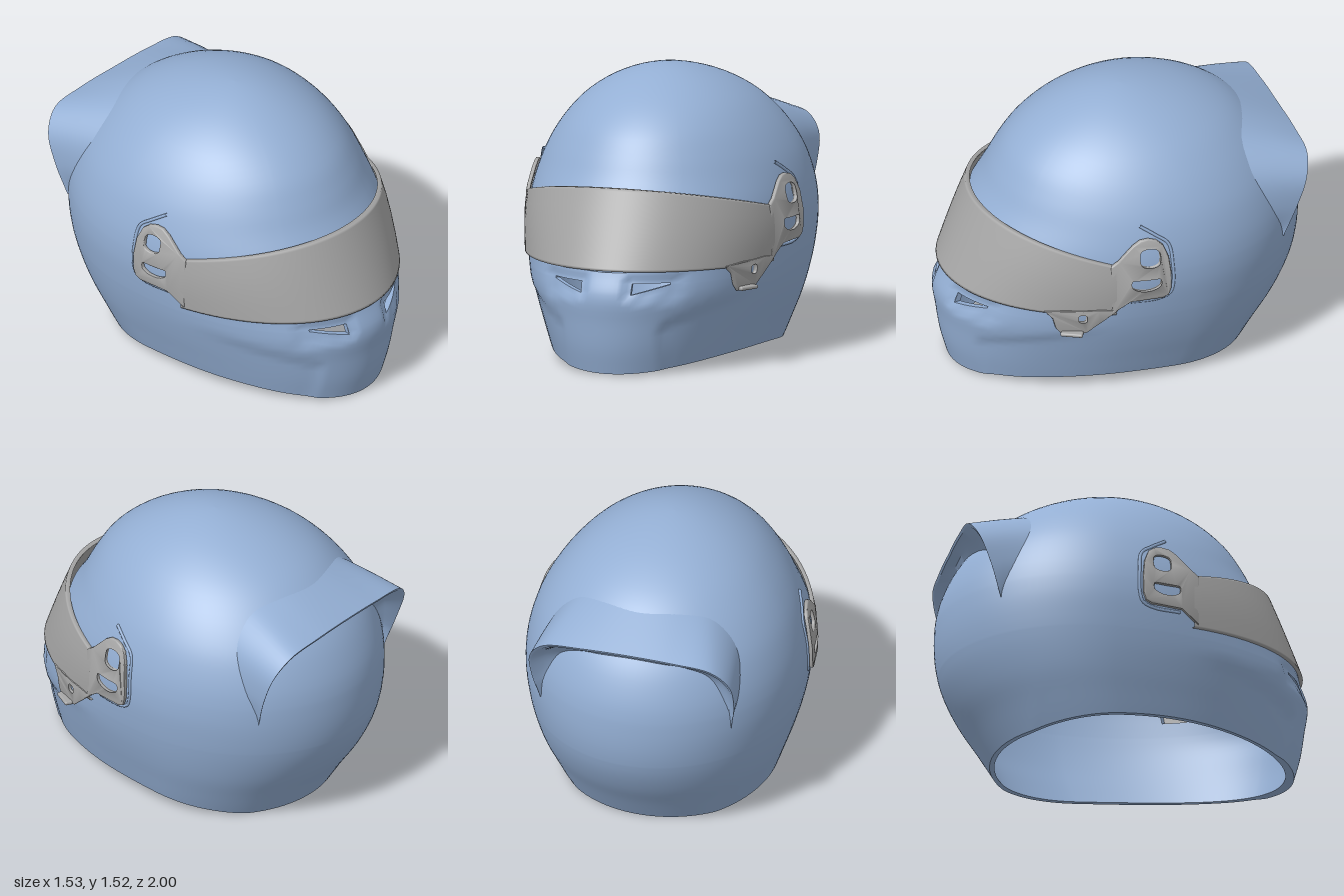
import * as THREE from 'three';
import { toCreasedNormals } from 'three/addons/utils/BufferGeometryUtils.js';
import { RoundedBoxGeometry } from 'three/addons/geometries/RoundedBoxGeometry.js';

const { lerp, clamp, smoothstep } = THREE.MathUtils;

// Shell rings: height, half width, front z, back z, z of the widest point
const RINGS = [
  [0, .585, .93, -.70, -.12], [.14, .625, .965, -.79, -.15], [.28, .668, .985, -.885, -.17], [.42, .705, 1, -.955, -.17],
  [.55, .73, .955, -.99, -.17], [.7, .745, .9, -1, -.17], [.85, .735, .82, -.985, -.17], [1, .695, .72, -.93, -.17],
  [1.12, .64, .655, -.855, -.16], [1.24, .558, .575, -.75, -.14], [1.35, .45, .45, -.615, -.11],
  [1.44, .31, .29, -.43, -.08], [1.5, .15, .12, -.22, -.05], [1.52, 0, -.04, -.04, -.04],
];
const LAST = RINGS.length - 1;
function ringAt(i) {
  if (i < 0) return RINGS[0].map((v, k) => 2 * v - RINGS[1][k]);
  if (i <= LAST) return RINGS[i];
  const [y, w, f, b, c] = RINGS[LAST - 1];   // mirrored past the crown, so the crown is smooth
  return [y, -w, b, f, c];
}
function ring(s) {
  const i = clamp(Math.floor(s), 0, LAST - 1), t = s - i;
  const [p, q, r, n] = [i - 1, i, i + 1, i + 2].map(ringAt);
  return q.map((v, k) => v + .5 * t * (r[k] - p[k] + t * (2 * p[k] - 5 * v + 4 * r[k] - n[k] + t * (3 * (v - r[k]) + n[k] - p[k]))));
}
function ringOfY(y) {
  let lo = 0, hi = LAST;
  for (let k = 0; k < 30; k++) { const m = (lo + hi) / 2; if (ring(m)[0] < y) lo = m; else hi = m; }
  return lo;
}

// Shallow pockets around the chin vents and on the cheeks
function dent(x, y, z) {
  if (z < .2) return 0;
  const ax = Math.abs(x), S = smoothstep;
  const vent = S(ax, .09, .12) * (1 - S(ax, .36, .4)) * S(y, .405, .43) * (1 - S(y, .52, .545));
  const edge = .27 + .4 * Math.max(0, ax - .28);
  const cheek = S(ax, .24, .3) * (1 - S(y, edge - .03, edge + .02)) * S(z, .2, .6);
  return .015 * vent + .014 * cheek;
}
// Point on the shell; k = 1 outside, less than 1 for the lining
function shellPoint(a, s, k = 1) {
  let [y, w, f, b, c] = ring(s);
  const along = Math.cos(a), reach = along > 0 ? f - c : c - b;
  let x = w * Math.sin(a) * k, z = reach * along * k;
  if (k === 1) { const d = 1 - dent(x, y, z + c); x *= d; z *= d; }
  z += c;
  y += .065 * Math.max(0, 1 - ((z - .2) / .76) ** 2) * Math.max(0, 1 - y / .45) ** 2;
  y -= (1 - k) * .8 * (y / 1.52) ** 4;
  return [x, y, z];
}

// Grid of points fn(i, j), with optional wrapping and skipped cells
function grid(fn, nu, nv, { wrapU = false, wrapV = false, skip = () => false } = {}) {
  const pos = [], idx = [], cols = wrapU ? nu : nu + 1, rows = wrapV ? nv : nv + 1;
  for (let j = 0; j < rows; j++) for (let i = 0; i < cols; i++) pos.push(...fn(i, j));
  const at = (i, j) => (j % rows) * cols + (i % cols);
  for (let j = 0; j < nv; j++) for (let i = 0; i < nu; i++) {
    if (skip(i, j)) continue;
    const a = at(i, j), b = at(i + 1, j), c = at(i + 1, j + 1), d = at(i, j + 1);
    idx.push(a, b, c, a, c, d);
  }
  const g = new THREE.BufferGeometry();
  g.setAttribute('position', new THREE.Float32BufferAttribute(pos, 3));
  g.setIndex(idx);
  g.computeVertexNormals();
  return g;
}
function steps(breaks, counts) {
  const out = [breaks[0]];
  counts.forEach((n, i) => { for (let k = 1; k <= n; k++) out.push(lerp(breaks[i], breaks[i + 1], k / n)); });
  return out;
}

// Limits of the vents and the eye opening, by angle from the front
const VENT_IN = .2, VENT_OUT = .47, EYE = 1.06;
const ventLow = a => lerp(.44, .49, clamp((Math.abs(a) - VENT_IN) / (VENT_OUT - VENT_IN), 0, 1));
const ventHigh = () => .5;
const eyeLow = a => .555 + .025 * Math.min(1, Math.abs(a) / EYE);
const eyeHigh = a => .93 - .14 * Math.min(1, Math.abs(a) / EYE) ** 2;

// Visor surface: outer face at angle a and height y
const visorFront = y => .975 - .415 * (y - .56);
const visorWidth = y => ring(ringOfY(y))[1] + .018;
const VISOR_C = -.17;
function visorX(z, y) {
  const q = (z - VISOR_C) / (visorFront(y) - VISOR_C);
  return visorWidth(y) * Math.sqrt(Math.max(0, 1 - q * q));
}

export function createModel() {
  const model = new THREE.Group();
  const mat = (name, color) => Object.assign(new THREE.MeshStandardMaterial({ color, side: THREE.DoubleSide }), { name });
  const blue = mat('shell blue', 0x94afd4), grey = mat('visor grey', 0xa6a6a6);
  const add = (name, geo, m) => {
    const mesh = new THREE.Mesh(geo, m);
    mesh.name = name;
    model.add(mesh);
    return mesh;
  };

  // Shell and lining: grid lines follow the openings, whose cells are left out
  const PI = Math.PI;
  const angles = steps([-PI, -EYE, -VENT_OUT, -VENT_IN, VENT_IN, VENT_OUT, EYE, PI], [36, 12, 10, 12, 10, 12, 36]);
  const bandRows = [14, 3, 3, 10, 26];
  const bandOf = bandRows.flatMap((n, b) => Array(n).fill(b));
  const columns = angles.map(a => steps(
    [0, ...[ventLow, ventHigh, eyeLow, eyeHigh].map(f => ringOfY(f(a))), LAST], bandRows));
  const skip = (i, j) => {
    const a = Math.abs((angles[i] + angles[i + 1]) / 2);
    return (bandOf[j] === 1 && a > VENT_IN && a < VENT_OUT) || (bandOf[j] === 3 && a < EYE);
  };
  const LINING = .955;
  for (const [name, k] of [['shell', 1], ['lining', LINING]])
    add(name, grid((i, j) => shellPoint(angles[i], columns[i][j], k), angles.length - 1, bandOf.length, { wrapU: true, skip }), blue);

  // Rims joining shell and lining along each opening
  const rim = (name, path) => add(name, toCreasedNormals(
    grid((i, j) => shellPoint(path[i][0], ringOfY(path[i][1]), j ? LINING : 1), path.length - 1, 1), .6), blue);
  const loop = (a0, a1, low, high, n) => {
    const as = steps([a0, a1], [n]);
    const path = [...as.map(a => [a, low(a)]), ...as.reverse().map(a => [a, high(a)])];
    return [...path, path[0]];
  };
  rim('neckRim', angles.map(a => [a, 0]));
  rim('eyeRim', loop(-EYE, EYE, eyeLow, eyeHigh, 40));
  rim('leftVentRim', loop(VENT_IN, VENT_OUT, ventLow, ventHigh, 10));
  rim('rightVentRim', loop(-VENT_OUT, -VENT_IN, ventLow, ventHigh, 10));

  // Visor band: closed cross-section swept round the face
  const vs = [0, .03, .25, .5, .75, .97, 1];
  const section = [...vs.map(v => [v, 0]), ...vs.slice().reverse().map(v => [v, .02])];
  const VN = 64;
  add('visorBand', grid((i, j) => {
    const u = i / VN * 2 - 1, [v, inset] = section[j % section.length];
    const y = lerp(.565 - .025 * u * u, .98 - .14 * u * u, v), f = visorFront(y) - VISOR_C;
    const a = u * Math.acos((.25 - VISOR_C) / f);
    return [(visorWidth(y) - inset) * Math.sin(a), y, VISOR_C + (f - inset * 1.3) * Math.cos(a)];
  }, VN, section.length, { wrapV: true }), grey);

  // Plates cut in side outline (z, y) and laid onto the visor surface
  function sidePlate(name, side, outline, holes) {
    const v = ([z, y]) => new THREE.Vector2(-side * z, y);
    const shape = new THREE.Shape(outline.map(v));
    shape.holes = holes.map(h => new THREE.Path(h.map(v)));
    const geo = new THREE.ExtrudeGeometry(shape, { depth: .012, bevelSize: .005, bevelThickness: .005, bevelSegments: 2 });
    const p = geo.attributes.position;
    for (let i = 0; i < p.count; i++) {
      const z = -side * p.getX(i), y = p.getY(i);
      p.setXYZ(i, side * (visorX(z, y) - .01 + p.getZ(i)), y, z);
    }
    add(name, toCreasedNormals(geo, .7), grey);
  }
  const oval = (z, y, rz, ry, bend = 0) => Array.from({ length: 20 }, (_, i) => {
    const c = Math.cos(i / 10 * PI), s = Math.sin(i / 10 * PI);
    return [z + rz * c, y + ry * Math.sign(s) * Math.sqrt(Math.abs(s)) + bend * c * c];
  });
  const arm = [[.27, .56], [.27, .84], [.23, .87], [.15, .95], [.11, .975], [.07, .98], [.03, .97], [0, .945], [-.025, .88],
    [-.035, .78], [-.033, .69], [-.02, .65], [.01, .635], [.18, .63]];
  for (const [name, side] of [['leftVisorArm', 1], ['rightVisorArm', -1]])
    sidePlate(name, side, arm, [oval(.07, .88, .054, .054), oval(.095, .72, .08, .035, .015)]);

  // Opening tab, on the left only
  sidePlate('visorTab', 1, [[.25, .57], [.33, .5], [.4, .435], [.43, .425], [.52, .425], [.545, .46], [.56, .52], [.6, .56],
    [.5, .57], [.42, .57], [.34, .575]], [oval(.42, .523, .022, .025)]);
  add('tabGrip', new RoundedBoxGeometry(.05, .022, .12, 3, .01), grey).position.set(.625, .432, .475);
  model.children.at(-1).rotation.y = -.5;

  // Raised seat line behind each visor arm
  for (const [name, side] of [['leftArmSeat', 1], ['rightArmSeat', -1]]) {
    const pts = [[.1, 1.045], [.02, .99], [-.04, .94], [-.055, .82], [-.055, .7], [-.035, .64], [.03, .615], [.17, .612]].map(([z, y]) =>
      new THREE.Vector3(side * (visorX(z, y) - .018), y, z));
    add(name, new THREE.TubeGeometry(new THREE.CatmullRomCurve3(pts), 40, .009, 6), blue);
  }

  // Rear spoiler: front seam, trailing edge and underside seam, from left tip to centre
  const rail = half => new THREE.CatmullRomCurve3([...half, ...half.slice(0, -1).reverse().map(([x, y, z]) => [-x, y, z])]
    .map(p => new THREE.Vector3(...p)));
  const seam = rail([[.515, .7, -.75], [.55, .9, -.68], [.51, 1.1, -.6], [.38, 1.24, -.585], [.2, 1.3, -.62], [0, 1.32, -.63]]);
  const edge = rail([[.53, .7, -.765], [.56, .88, -.825], [.55, 1.04, -.885], [.46, 1.14, -.925], [.25, 1.165, -.935], [0, 1.17, -.935]]);
  const under = rail([[.5, .7, -.75], [.47, .88, -.765], [.4, 1, -.77], [.28, 1.06, -.81], [.14, 1.08, -.845], [0, 1.085, -.855]]);
  const SN = 60;
  add('spoiler', toCreasedNormals(grid((i, j) => {
    const t = i / SN, a = seam.getPoint(t), e = edge.getPoint(t), d = under.getPoint(t);
    const lip = e.clone().lerp(d, .08).add(new THREE.Vector3(0, -.008, 0));
    const mid = a.clone().lerp(e, .5).add(new THREE.Vector3(0, .004, 0));
    const hollow = lip.clone().lerp(d, .5).add(new THREE.Vector3(0, .015, .012));
    return [a, mid, e, lip, hollow, d][j].toArray();
  }, SN, 5), .7), blue);

  return model;
}
